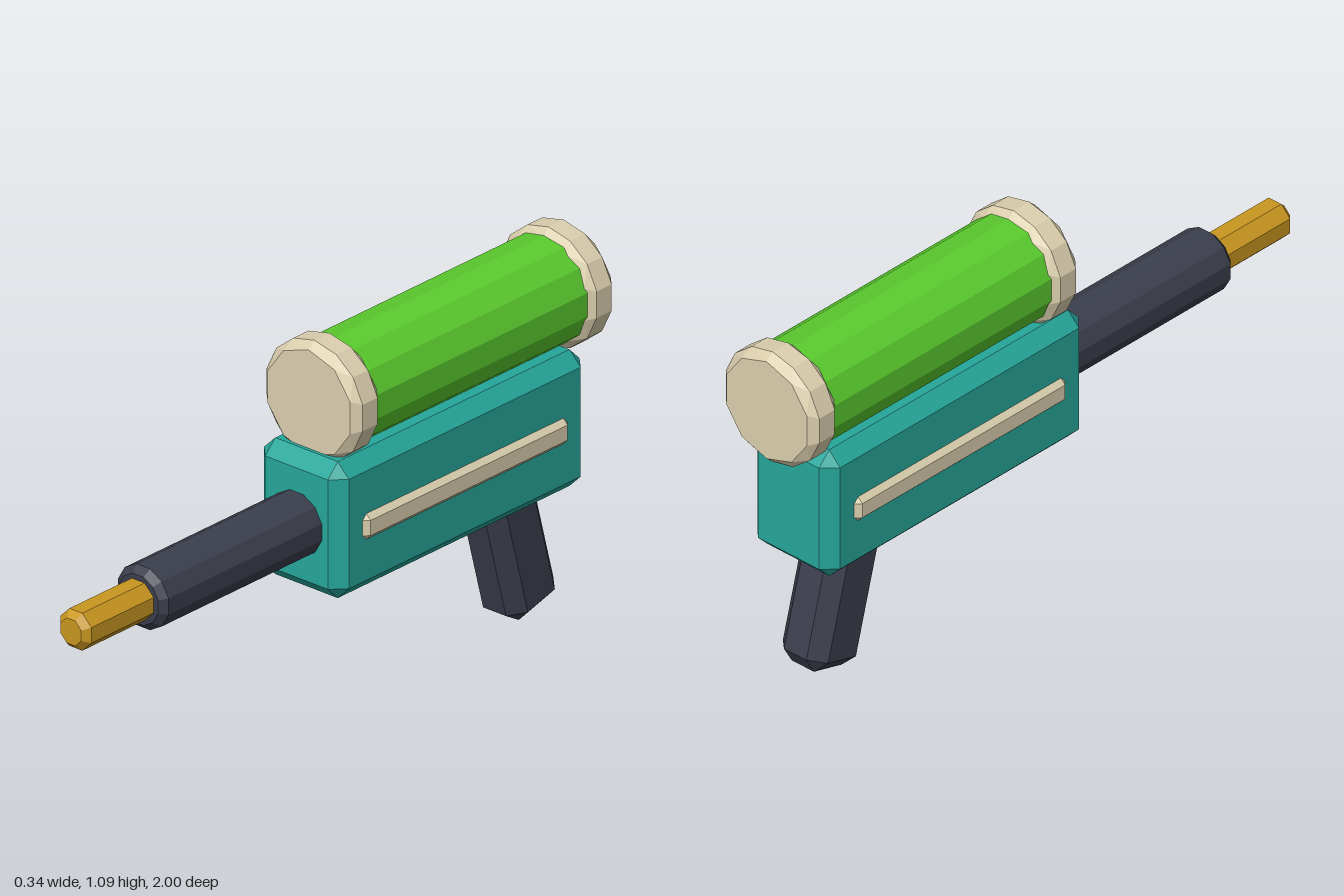
import * as THREE from 'three';
import { ConvexGeometry } from 'three/addons/geometries/ConvexGeometry.js';

const V = (x, y, z) => new THREE.Vector3(x, y, z);

// Box with every edge cut by a flat chamfer c
function chamferBox(w, h, d, c) {
  const pts = [];
  for (const sx of [-1, 1]) for (const sy of [-1, 1]) for (const sz of [-1, 1]) {
    const x = w / 2, y = h / 2, z = d / 2;
    pts.push(
      V(sx * x, sy * (y - c), sz * (z - c)),
      V(sx * (x - c), sy * y, sz * (z - c)),
      V(sx * (x - c), sy * (y - c), sz * z));
  }
  return new ConvexGeometry(pts);
}

// Faceted rod along z, the hull of rings [sides, radius, z]; turn is a share of one side
function rod(rings, turn = 0) {
  const pts = [];
  for (const [n, r, z] of rings) {
    for (let i = 0; i < n; i++) {
      const a = ((i + turn) / n) * Math.PI * 2;
      pts.push(V(r * Math.sin(a), r * Math.cos(a), z));
    }
  }
  return new ConvexGeometry(pts);
}

export function createModel() {
  const group = new THREE.Group();
  const material = (name, color) => {
    const m = new THREE.MeshStandardMaterial({ color });
    m.name = name;
    return m;
  };
  const teal = material('teal', 0x26a69a);
  const cream = material('cream', 0xdbcfae);
  const green = material('green', 0x5acb2e);
  const slate = material('slate', 0x3b3e4c);
  const gold = material('gold', 0xc8961f);

  const add = (name, geometry, mat, y, z) => {
    const mesh = new THREE.Mesh(geometry, mat);
    mesh.name = name;
    mesh.position.set(0, y, z);
    group.add(mesh);
    return mesh;
  };

  // Body with a trim bar standing proud of both sides
  add('body', chamferBox(0.304, 0.404, 1.01, 0.04), teal, 0.582, -0.41);
  add('sideTrim', chamferBox(0.335, 0.085, 0.83, 0.02), cream, 0.58, -0.41);

  // Raked grip
  add('grip', chamferBox(0.166, 0.52, 0.196, 0.042), slate, 0.27, -0.738).rotation.x = 0.262;

  // Barrel and nozzle
  add('barrel', rod([[12, 0.094, 0], [12, 0.094, 0.71], [12, 0.074, 0.73]], 0.5), slate, 0.582, 0);
  add('nozzle', rod([[8, 0.06, 0.68], [8, 0.06, 0.98], [8, 0.04, 1]], 0.5), gold, 0.582, 0);

  // Tank with a bevelled cap at each end
  add('tank', rod([[14, 0.158, -0.92], [14, 0.158, -0.03]]), green, 0.92, 0);
  for (const [name, z] of [['frontCap', -0.008], ['rearCap', -0.947]]) {
    const cap = rod([[10, 0.155, -0.053], [14, 0.176, -0.03], [14, 0.176, 0.03], [10, 0.155, 0.053]]);
    add(name, cap, cream, 0.92, z);
  }
  return group;
}
